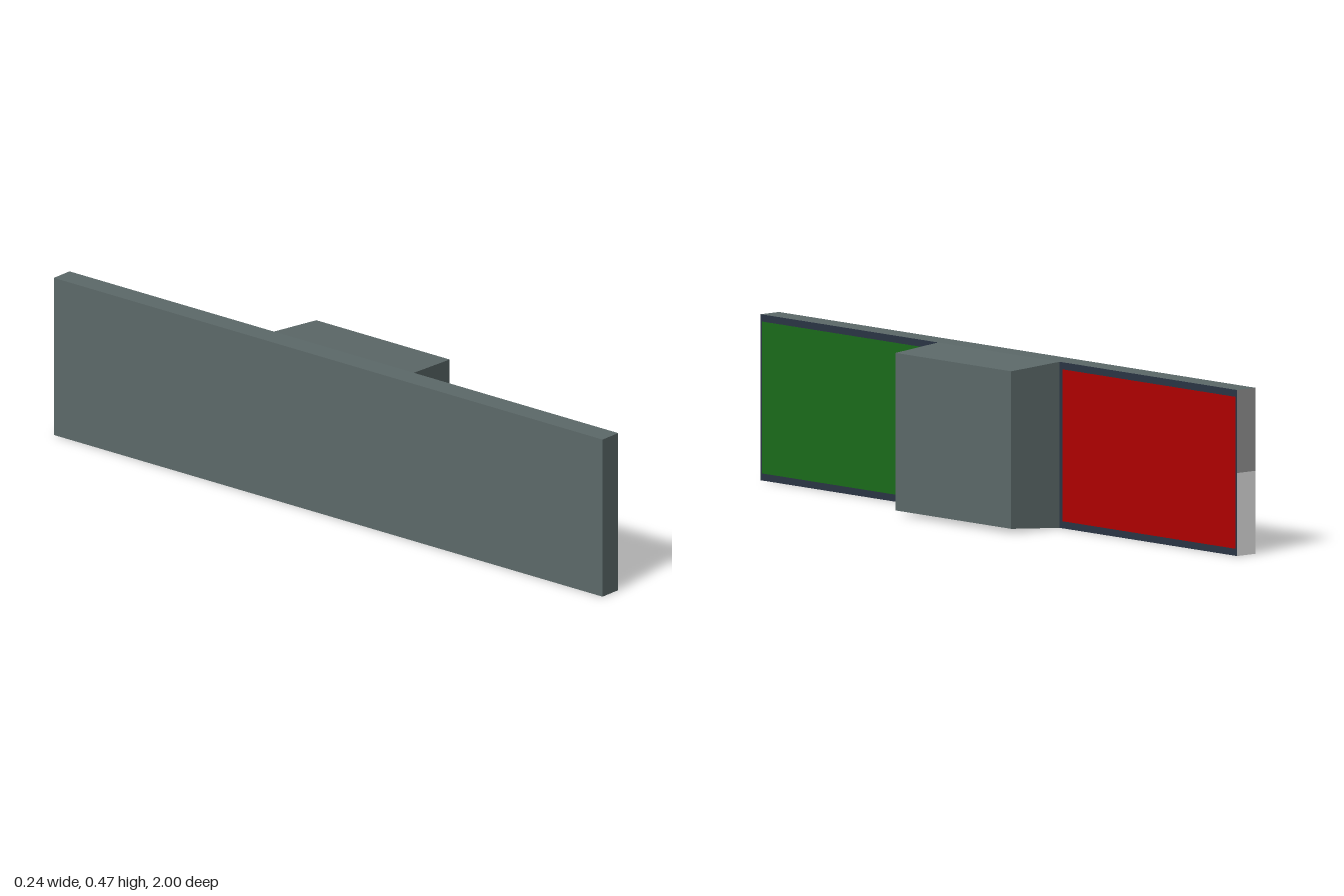
import * as THREE from 'three';

const material = (name, color) => {
  const m = new THREE.MeshStandardMaterial({ color });
  m.name = name;
  return m;
};

export function createModel() {
  const body = material('slate grey', 0x5c6969);
  const rim = material('dark navy', 0x2a3544);
  const green = material('green', 0x1a6c1a);
  const red = material('red', 0xb00000);
  const midGrey = material('mid grey', 0x959595);
  const lightGrey = material('light grey', 0xe2e2e2);

  const model = new THREE.Group();
  model.name = 'wallSign';
  const H = 0.468, BACK = -0.119, FACE = -0.051, FRONT = 0.119, SKIN = 0.0006;

  // Box given by its lower and upper corners
  const addBox = (name, mat, lo, hi) => {
    const size = hi.map((v, i) => v - lo[i]);
    const mesh = new THREE.Mesh(new THREE.BoxGeometry(...size), mat);
    mesh.position.set(...hi.map((v, i) => (v + lo[i]) / 2));
    mesh.name = name;
    model.add(mesh);
    return mesh;
  };

  // Long back board; its +x face is the dark rim around the panels
  addBox('backBoard', [rim, body, body, body, body, body], [BACK, 0, -1 + SKIN], [FACE, H, 1]);

  // Two-tone end cap at the rear
  addBox('endCapUpper', midGrey, [BACK, H / 2, -1], [FACE, H, -1 + SKIN]);
  addBox('endCapLower', lightGrey, [BACK, 0, -1], [FACE, H / 2, -1 + SKIN]);

  // Coloured panels
  const edge = 0.02, inner = 0.268, outer = 0.994;
  addBox('greenPanel', green, [FACE, edge, inner], [FACE + SKIN, H - edge, outer]);
  addBox('redPanel', red, [FACE, edge, -outer], [FACE + SKIN, H - edge, -inner]);

  // Central block, tapering slightly toward its outer face
  const block = addBox('centreBlock', body, [FACE, 0, -0.255], [FRONT, H, 0.255]);
  const p = block.geometry.attributes.position;
  for (let i = 0; i < p.count; i++) {
    if (p.getX(i) > 0) {
      p.setY(i, Math.sign(p.getY(i)) * 0.222);
      p.setZ(i, Math.sign(p.getZ(i)) * 0.243);
    }
  }
  block.geometry.computeVertexNormals();

  return model;
}
